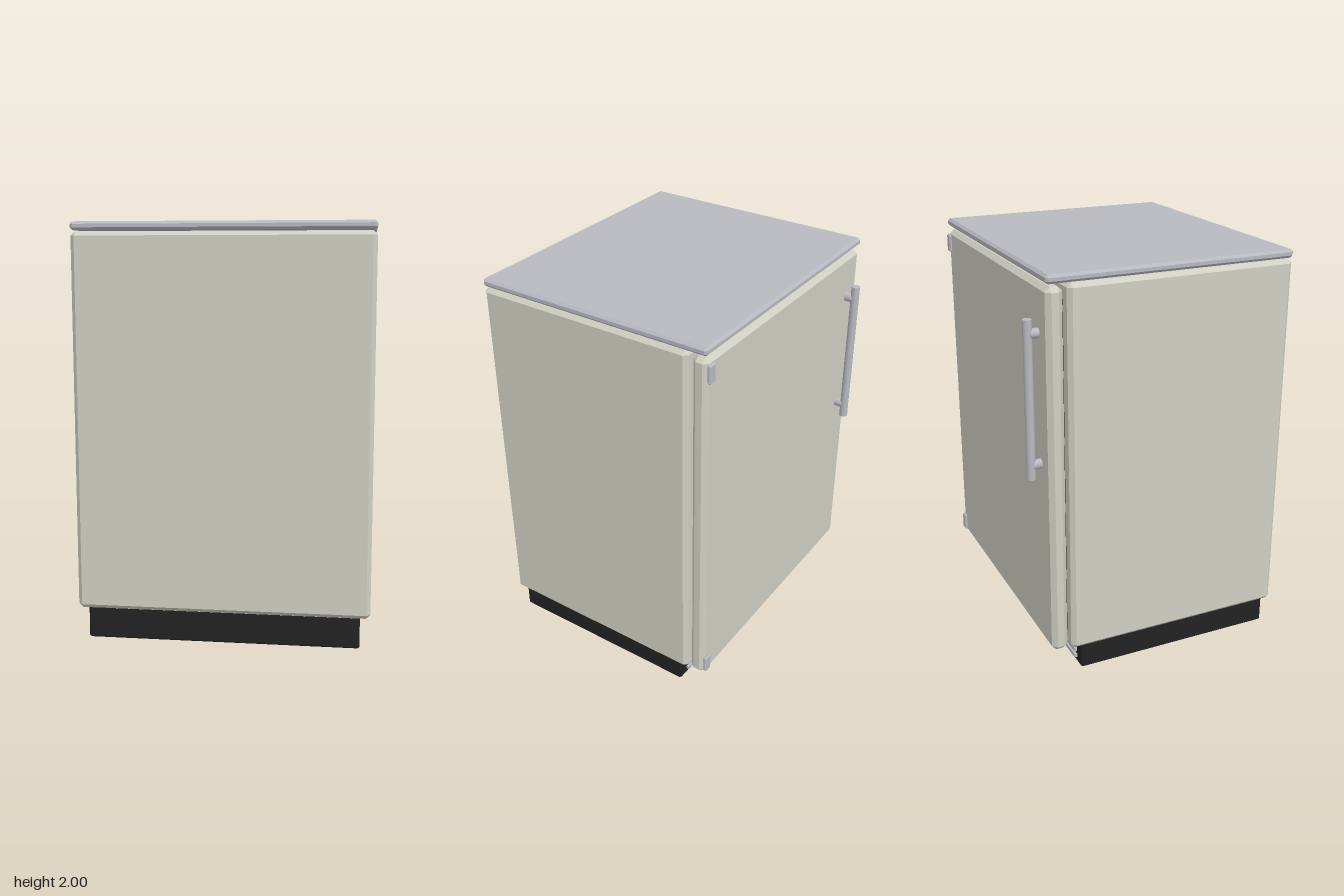
import * as THREE from 'three';

// Eight-cornered horizontal ring: x half-width, z range, cut corner size
function ring(y, w, z0, z1, k) {
  return [
    [w, y, z1 - k], [w, y, z0 + k], [w - k, y, z0], [-w + k, y, z0],
    [-w, y, z0 + k], [-w, y, z1 - k], [-w + k, y, z1], [w - k, y, z1],
  ];
}

// Joins rings into a flat-faced skin, optionally closed at both ends
function loft(rings, capped = true) {
  const pos = [];
  const tri = (a, b, c) => pos.push(...a, ...b, ...c);
  for (let r = 0; r < rings.length - 1; r++) {
    const lo = rings[r], hi = rings[r + 1];
    for (let i = 0; i < 8; i++) {
      const j = (i + 1) % 8;
      tri(lo[i], lo[j], hi[j]);
      tri(lo[i], hi[j], hi[i]);
    }
  }
  if (capped) {
    const first = rings[0], last = rings[rings.length - 1];
    for (let i = 1; i < 7; i++) {
      tri(first[0], first[i + 1], first[i]);
      tri(last[0], last[i], last[i + 1]);
    }
  }
  const geo = new THREE.BufferGeometry();
  geo.setAttribute('position', new THREE.Float32BufferAttribute(pos, 3));
  geo.computeVertexNormals();
  return geo;
}

// Rings of a box with every edge chamfered by c
function chamferRings(w, y0, y1, z0, z1, c) {
  return [
    ring(y0, w - c, z0 + c, z1 - c, 0),
    ring(y0 + c, w, z0, z1, c),
    ring(y1 - c, w, z0, z1, c),
    ring(y1, w - c, z0 + c, z1 - c, 0),
  ];
}

export function createModel() {
  const model = new THREE.Group();
  model.name = 'undercounterFridge';

  const material = (name, color) => {
    const m = new THREE.MeshStandardMaterial({ color });
    m.name = name;
    return m;
  };
  const cream = material('creamEnamel', 0xd0cfc3);
  const metal = material('greyMetal', 0xb8b9c0);
  const black = material('blackPlastic', 0x222222);

  const add = (name, geo, mat, x = 0, y = 0, z = 0, parent = model) => {
    const mesh = new THREE.Mesh(geo, mat);
    mesh.name = name;
    mesh.position.set(x, y, z);
    parent.add(mesh);
    return mesh;
  };

  // Cabinet with a shallow recess in its underside
  add('cabinet', loft([
    ring(0.285, 0.635, -0.39, 0.605, 0.02),
    ring(0.15, 0.635, -0.39, 0.605, 0.02),
    ...chamferRings(0.705, 0.15, 1.955, -0.478, 0.645, 0.02),
  ]), cream);

  // Worktop
  add('worktop', loft(chamferRings(0.705, 1.96, 2, -0.577, 0.645, 0.012)), metal);

  // Hollow plinth, open above and below
  add('plinth', loft([
    ring(0.15, 0.64, -0.395, 0.61, 0.005),
    ring(0, 0.64, -0.395, 0.61, 0.005),
    ring(0, 0.65, -0.405, 0.62, 0.005),
    ring(0.006, 0.656, -0.411, 0.626, 0.008),
    ring(0.15, 0.656, -0.411, 0.626, 0.008),
  ], false), black);

  // Ventilation slats on the door side of the plinth
  const grille = new THREE.Group();
  grille.name = 'grille';
  model.add(grille);
  for (const y of [0.035, 0.07, 0.105]) {
    add('slat', new THREE.BoxGeometry(1.2, 0.018, 0.02), metal, 0, y, -0.415, grille);
  }

  // Door and its seal
  add('doorSeal', new THREE.BoxGeometry(1.28, 1.645, 0.03), black, 0, 1.052, -0.487);
  add('door', loft(chamferRings(0.7, 0.16, 1.945, -0.575, -0.495, 0.023)), cream);

  // Hinge plates
  for (const y of [0.18, 1.83]) {
    add('hinge', loft(chamferRings(0.022, y, y + 0.09, -0.588, -0.57, 0.006)), metal, 0.67);
  }

  // Bar handle on two standoffs
  const handle = new THREE.Group();
  handle.name = 'handle';
  handle.position.x = -0.59;
  model.add(handle);
  add('handleBar', new THREE.CylinderGeometry(0.021, 0.021, 0.75, 24), metal, 0, 1.415, -0.624, handle);
  for (const y of [1.11, 1.725]) {
    const post = add('standoff', new THREE.CylinderGeometry(0.023, 0.023, 0.045, 20), metal, 0, y, -0.595, handle);
    post.rotation.x = Math.PI / 2;
  }

  return model;
}
